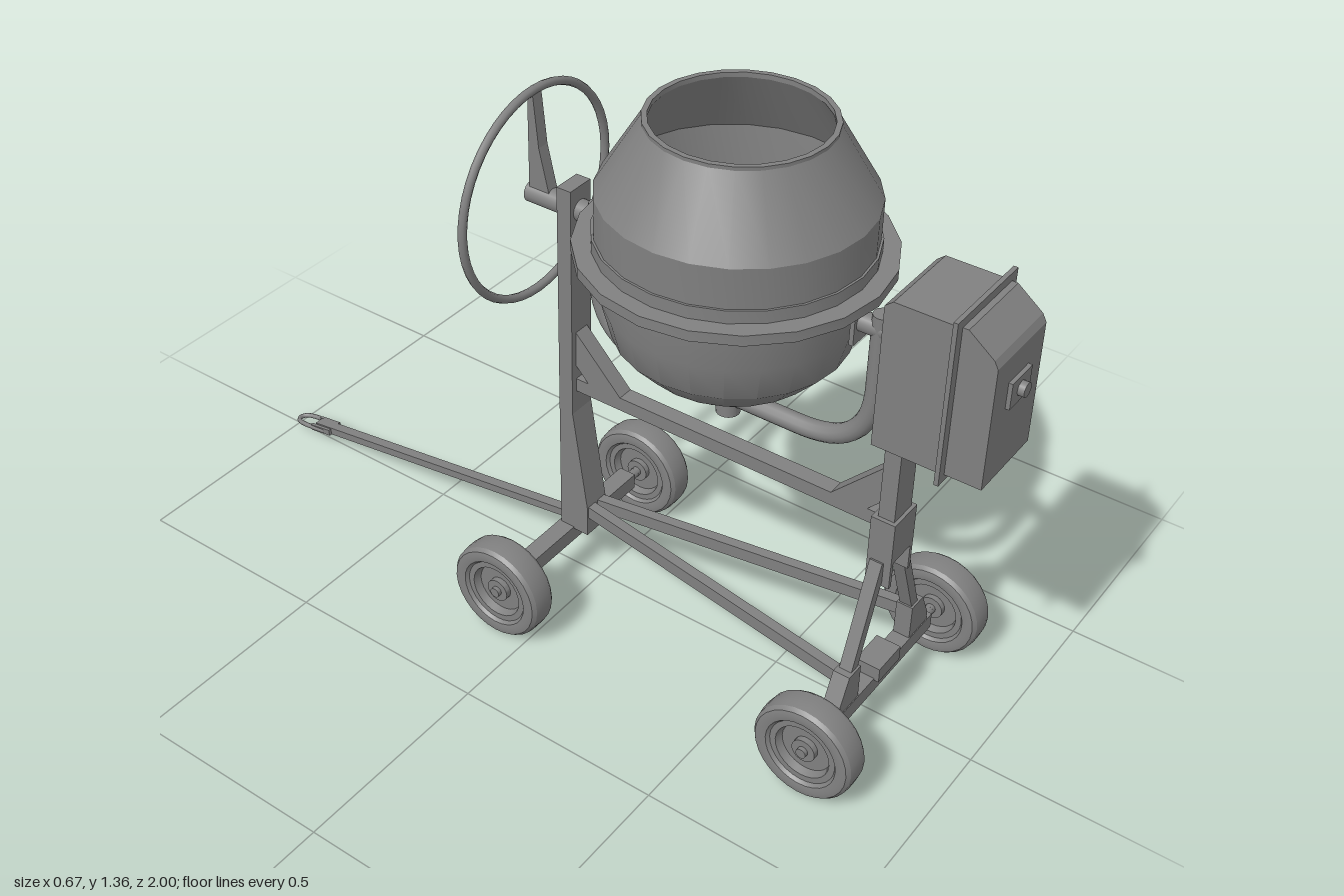
import * as THREE from 'three';
import { toCreasedNormals } from 'three/addons/utils/BufferGeometryUtils.js';

const material = new THREE.MeshStandardMaterial({ color: 0x808080 });
const V = (x, y, z) => new THREE.Vector3(x, y, z);

export function createModel() {
  const model = new THREE.Group();

  const add = (name, geometry, x = 0, y = 0, z = 0) => {
    const mesh = new THREE.Mesh(geometry, material);
    mesh.name = name;
    mesh.position.set(x, y, z);
    model.add(mesh);
    return mesh;
  };
  // Box given by its limits on each axis
  const box = (name, x0, x1, y0, y1, z0, z1) =>
    add(name, new THREE.BoxGeometry(x1 - x0, y1 - y0, z1 - z0), (x0 + x1) / 2, (y0 + y1) / 2, (z0 + z1) / 2);
  // Square bar from a to b
  const bar = (name, a, b, w, h) => {
    const m = add(name, new THREE.BoxGeometry(w, h, a.distanceTo(b)), ...a.clone().lerp(b, 0.5).toArray());
    m.lookAt(b);
    return m;
  };
  // Round rod along z
  const rod = (name, r, z0, z1, x, y) =>
    add(name, new THREE.CylinderGeometry(r, r, z1 - z0, 16).rotateX(Math.PI / 2), x, y, (z0 + z1) / 2);
  const lathe = (pts, sides) => toCreasedNormals(
    new THREE.LatheGeometry(pts.map(p => new THREE.Vector2(p[0], p[1])), sides), 0.5);
  // Side profile in (z, y), extruded to a width across x
  const sideProfile = (pts, width) => {
    const shape = new THREE.Shape(pts.map(p => new THREE.Vector2(p[0], p[1])));
    return new THREE.ExtrudeGeometry(shape, { depth: width, bevelEnabled: false })
      .rotateY(-Math.PI / 2).translate(width / 2, 0, 0);
  };

  // Hollow drum with its rim ring and mixing blades
  const drumZ = 0.339;
  add('drum', lathe([
    [0, 0.772], [0.125, 0.772], [0.2, 0.81], [0.253, 0.868], [0.275, 0.952], [0.278, 1.057],
    [0.295, 1.077], [0.295, 1.107], [0.29, 1.107], [0.29, 1.198], [0.196, 1.355], [0.196, 1.363], [0.184, 1.363],
    [0.184, 1.352], [0.277, 1.193], [0.265, 1.057], [0.262, 0.957], [0.24, 0.877], [0.19, 0.822], [0.12, 0.785], [0, 0.785],
  ], 24), 0, 0, drumZ);
  add('gearRing', lathe([
    [0.275, 1.054], [0.334, 1.054], [0.334, 1.078], [0.275, 1.078], [0.275, 1.054],
  ], 20), 0, 0, drumZ);
  for (const s of [1, -1]) {
    box('mixingBlade', s * 0.19 - 0.065, s * 0.19 + 0.065, 0.96, 1.14, drumZ - 0.012, drumZ + 0.002);
  }
  // Bearing under the drum
  add('drumBase', lathe([
    [0, 0.65], [0.027, 0.65], [0.027, 0.742], [0.06, 0.742], [0.06, 0.753], [0.085, 0.753],
    [0.085, 0.762], [0.137, 0.762], [0.137, 0.773], [0, 0.773],
  ], 20), 0, 0, drumZ);

  // U-shaped tilting yoke
  const zf = 0.685, zb = -0.007, top = 1.04, low = 0.695, c = 0.17;
  const path = new THREE.CurvePath();
  path.add(new THREE.LineCurve3(V(0, top, zf), V(0, low + c, zf)));
  path.add(new THREE.QuadraticBezierCurve3(V(0, low + c, zf), V(0, low, zf), V(0, low, zf - c)));
  path.add(new THREE.LineCurve3(V(0, low, zf - c), V(0, low, zb + c)));
  path.add(new THREE.QuadraticBezierCurve3(V(0, low, zb + c), V(0, low, zb), V(0, low + c, zb)));
  path.add(new THREE.LineCurve3(V(0, low + c, zb), V(0, top, zb)));
  add('yoke', new THREE.TubeGeometry(path, 60, 0.022, 12, false));
  for (const z of [zf, zb]) add('yokeCap', new THREE.CylinderGeometry(0.022, 0.022, 0.004, 12), 0, top, z);
  rod('frontShaft', 0.022, 0.63, 0.76, 0, 1.008);
  box('frontShaftPlate', -0.03, 0.03, 0.962, 1.057, 0.63, 0.64);
  rod('rearShaft', 0.025, -0.19, 0.02, 0, 1.008);

  // Tilting handwheel
  add('handwheelRim', new THREE.TorusGeometry(0.248, 0.01, 8, 48), 0, 1.01, -0.175);
  add('handwheelSpoke', sideProfile([[-0.127, 1.02], [-0.182, 1.02], [-0.182, 1.255], [-0.168, 1.255], [-0.154, 1.13]], 0.03));

  // Motor housing
  add('motorBack', sideProfile([[0.736, 0.807], [0.89, 0.807], [0.89, 1.152], [0.754, 1.152], [0.736, 1.137]], 0.2));
  box('motorFlange', -0.118, 0.118, 0.791, 1.171, 0.887, 0.897);
  add('motorCover', sideProfile([[0.893, 0.807], [0.977, 0.807], [0.977, 1.09], [0.968, 1.107], [0.91, 1.152], [0.893, 1.152]], 0.194));
  box('switchBox', -0.04, 0.04, 0.968, 1.028, 0.97, 0.986);
  rod('switchKnob', 0.016, 0.98, 1, 0, 0.998);

  // Upper frame
  box('frontColumn', -0.035, 0.035, 0.475, 1.077, 0.736, 0.774);
  box('frontColumnSleeve', -0.045, 0.045, 0.475, 0.58, 0.725, 0.782);
  for (const s of [1, -1]) box('sleeveCheek', s * 0.04 - 0.005, s * 0.04 + 0.005, 0.41, 0.48, 0.725, 0.782);
  add('rearColumn', sideProfile([
    [-0.092, 0.14], [-0.014, 0.14], [-0.014, 0.22], [-0.055, 0.48], [-0.055, 1.067], [-0.092, 1.067],
  ], 0.07));
  box('upperBeam', -0.02, 0.02, 0.538, 0.572, -0.06, 0.74);
  const brace = [[0.736, 0.698], [0.736, 0.608], [0.698, 0.568], [0.61, 0.568]];
  add('frontBrace', sideProfile(brace.slice().reverse(), 0.04));
  add('rearBrace', sideProfile(brace.map(([z, y]) => [0.681 - z, y]), 0.04));

  // Lower frame: splayed front legs, rails and axle beams
  for (const s of [1, -1]) {
    bar('frontLeg', V(s * 0.04, 0.47, 0.75), V(s * 0.14, 0.2, 0.75), 0.03, 0.025);
    const foot = new THREE.Shape([[0.11, 0.14], [0.19, 0.14], [0.187, 0.17], [0.157, 0.233], [0.11, 0.233]]
      .map(([x, y]) => new THREE.Vector2(s * x, y)));
    add('legFoot', new THREE.ExtrudeGeometry(foot, { depth: 0.04, bevelEnabled: false }), 0, 0, 0.73);
    bar('lowerRail', V(s * 0.015, 0.205, -0.03), V(s * 0.135, 0.205, 0.74), 0.025, 0.032);
  }
  box('frontAxleBlock', -0.045, 0.045, 0.14, 0.177, 0.723, 0.783);

  // Axles and wheels
  const half = [[0, 0.034], [0.012, 0.034], [0.012, 0.024], [0.028, 0.024], [0.028, 0.01], [0.06, 0.01],
    [0.066, 0.028], [0.08, 0.028], [0.086, 0.036], [0.1, 0.039], [0.112, 0.036], [0.119, 0.027], [0.121, 0.012]];
  const wheelProfile = [...half.map(([r, a]) => [r, -a]), ...half.slice().reverse()];
  const wheelGeometry = lathe(wheelProfile, 28).rotateZ(-Math.PI / 2);
  for (const [side, z] of [['front', 0.75], ['rear', -0.076]]) {
    box(side + 'AxleBeam', -0.21, 0.21, 0.105, 0.145, z - 0.022, z + 0.022);
    add(side + 'Axle', new THREE.CylinderGeometry(0.012, 0.012, 0.54, 12).rotateZ(Math.PI / 2), 0, 0.121, z);
    for (const s of [1, -1]) add(side + 'Wheel', wheelGeometry, s * 0.273, 0.121, z);
  }

  // Tow bar with fork and loop
  bar('towBar', V(0, 0.15, -0.09), V(0, 0.03, -0.925), 0.025, 0.02);
  for (const s of [1, -1]) {
    bar('towFork', V(s * 0.018, 0.038, -0.87), V(s * 0.018, 0.028, -0.935), 0.008, 0.016);
  }
  const loop = new THREE.CatmullRomCurve3([
    V(0.019, 0.034, -0.89), V(0.019, 0.025, -0.965), V(0.013, 0.022, -0.986), V(0, 0.021, -0.994),
    V(-0.013, 0.022, -0.986), V(-0.019, 0.025, -0.965), V(-0.019, 0.034, -0.89),
  ]);
  add('towLoop', new THREE.TubeGeometry(loop, 32, 0.006, 8, false));

  return model;
}
